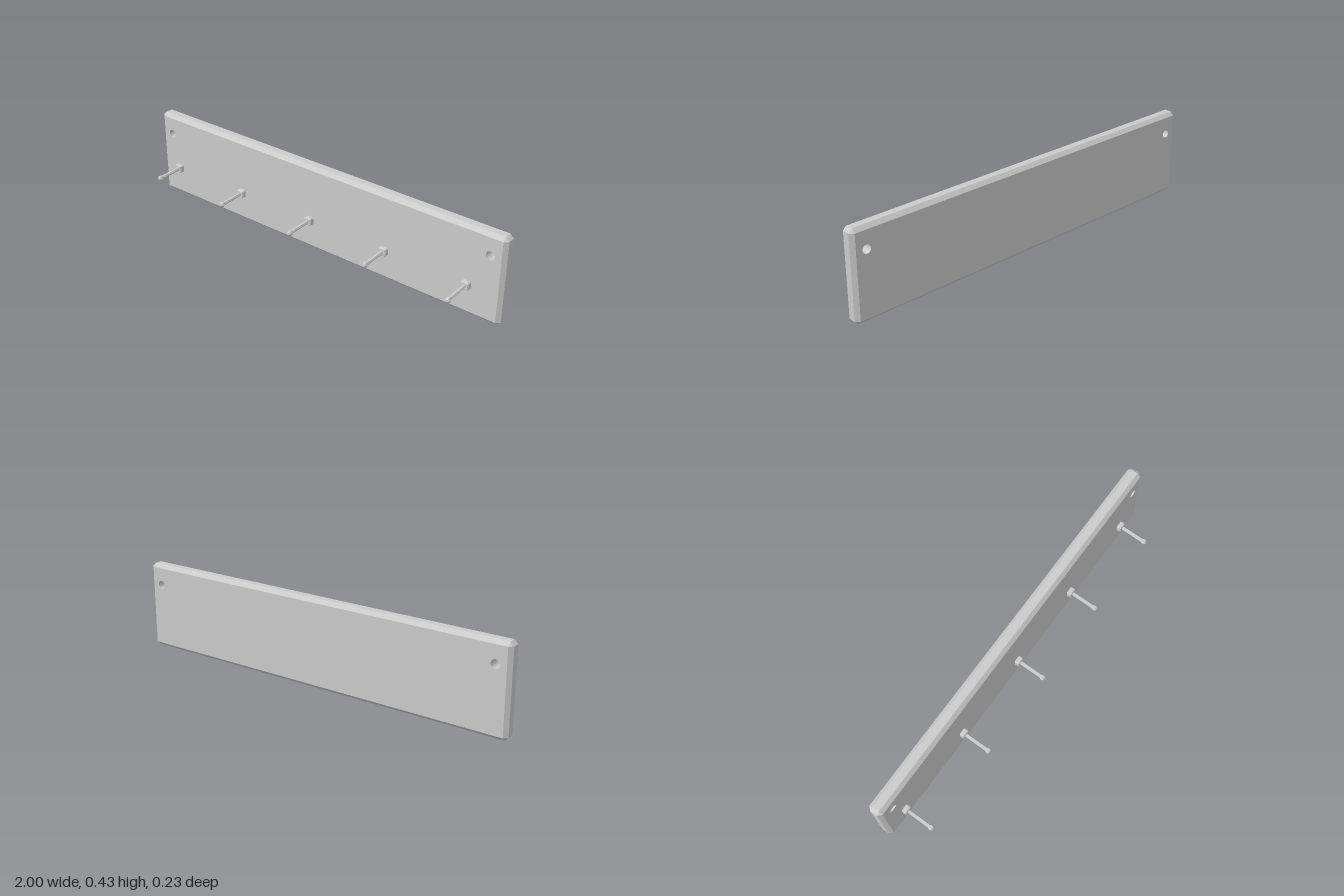
import * as THREE from 'three';
import { mergeGeometries } from 'three/addons/utils/BufferGeometryUtils.js';

const HOLE_SIDES = 16;

// Slab centred on the origin with every edge chamfered by b; round holes run through along z
function chamferedSlab(w, h, d, b, holes = []) {
  const x = w / 2, y = h / 2, z = d / 2;
  const quadrants = [[1, 1], [-1, 1], [-1, -1], [1, -1]];

  // Eight-point rings: corners pinch to a point on the faces and open up on the sides
  const ring = (ringZ, pinched) => quadrants.flatMap(([sx, sy]) => {
    const alongEnd = [sx * (pinched ? x - b : x), sy * (y - b), ringZ];
    const alongTop = [sx * (x - b), sy * (pinched ? y - b : y), ringZ];
    return sx * sy > 0 ? [alongEnd, alongTop] : [alongTop, alongEnd];
  });
  const rings = [ring(-z, true), ring(-z + b, false), ring(z - b, false), ring(z, true)];
  const positions = [];
  for (let r = 0; r < 3; r++) {
    for (let i = 0; i < 8; i++) {
      const j = (i + 1) % 8;
      const [p, q, s, t] = [rings[r][i], rings[r][j], rings[r + 1][j], rings[r + 1][i]];
      if (!(r === 0 && i % 2 === 0)) positions.push(...p, ...q, ...s);
      else positions.push(...p, ...s, ...t);
      if (r === 1 || i % 2 === 1) positions.push(...p, ...s, ...t);
    }
  }
  const rim = new THREE.BufferGeometry();
  rim.setAttribute('position', new THREE.Float32BufferAttribute(positions, 3));

  // Front and back faces
  const outline = new THREE.Shape(quadrants.map(([sx, sy]) => new THREE.Vector2(sx * (x - b), sy * (y - b))));
  for (const [hx, hy, radius] of holes) {
    outline.holes.push(new THREE.Path().absarc(hx, hy, radius, 0, Math.PI * 2, true));
  }
  const front = new THREE.ShapeGeometry(outline, HOLE_SIDES / 2).translate(0, 0, z);
  const back = new THREE.ShapeGeometry(outline, HOLE_SIDES / 2).rotateY(Math.PI).translate(0, 0, -z);

  const bare = [front, back].map((g) => {
    const flat = g.toNonIndexed();
    flat.deleteAttribute('uv');
    flat.deleteAttribute('normal');
    return flat;
  });
  const geometry = mergeGeometries([rim, ...bare]);
  geometry.computeVertexNormals();
  return geometry;
}

export function createModel() {
  const model = new THREE.Group();
  model.name = 'keyRack';
  const material = new THREE.MeshStandardMaterial({ color: 0xcccccc, flatShading: true });
  const holeMaterial = new THREE.MeshStandardMaterial({ color: 0xcccccc, side: THREE.DoubleSide });

  const add = (parent, name, geometry, mat, x, y, z) => {
    const mesh = new THREE.Mesh(geometry, mat);
    mesh.name = name;
    mesh.position.set(x, y, z);
    parent.add(mesh);
    return mesh;
  };

  // Backboard with two screw holes
  const height = 0.43, depth = 0.07, boardZ = -0.08;
  const holeX = 0.93, holeY = 0.328, holeRadius = 0.021;
  const holes = [-1, 1].map((s) => [s * holeX, holeY - height / 2, holeRadius]);
  add(model, 'backboard', chamferedSlab(2, height, depth, 0.0175, holes), material, 0, height / 2, boardZ);

  const wall = new THREE.CylinderGeometry(holeRadius, holeRadius, depth, HOLE_SIDES, 1, true).rotateX(Math.PI / 2);
  for (const s of [-1, 1]) add(model, 'screwHole', wall, holeMaterial, s * holeX, holeY, boardZ);

  // Hooks: chamfered mount and a six-sided peg with a knob, drooping slightly
  const mount = chamferedSlab(0.04, 0.038, 0.026, 0.005);
  const profile = [[0, 0], [0.0088, 0], [0.0092, 0.112], [0.0134, 0.119], [0.0134, 0.129], [0.007, 0.1355], [0, 0.1355]];
  const peg = new THREE.LatheGeometry(profile.map(([r, s]) => new THREE.Vector2(r, s)), 6, Math.PI / 2);
  for (let i = 0; i < 5; i++) {
    const hook = new THREE.Group();
    hook.name = 'hook';
    hook.position.set(-0.88 + i * 0.4287, 0.154, -0.02);
    add(hook, 'hookMount', mount, material, 0, 0, -0.0125);
    add(hook, 'hookPeg', peg, material, 0, 0, 0).rotation.x = Math.PI / 2 + 0.045;
    model.add(hook);
  }
  return model;
}
